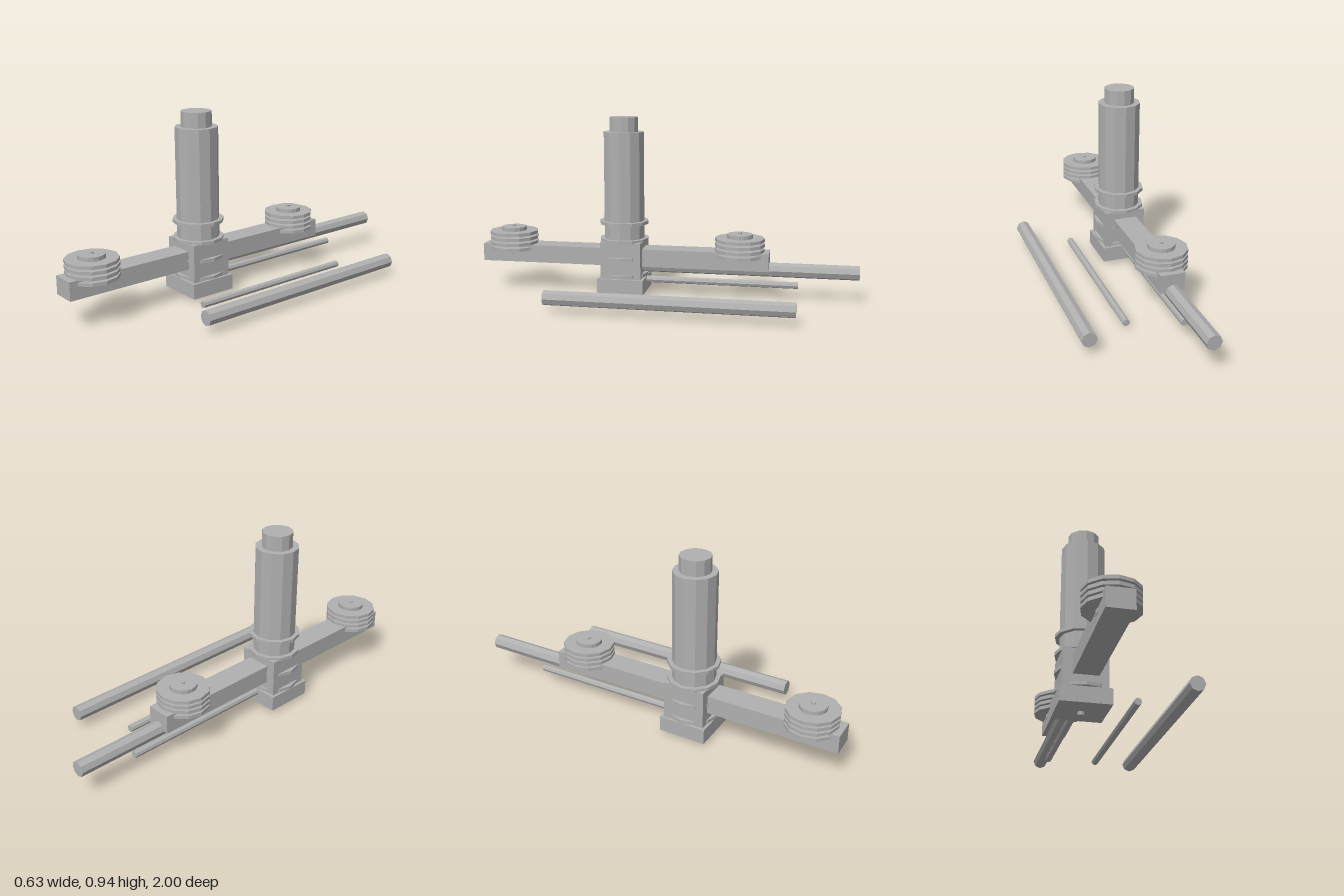
import * as THREE from 'three';

export function createModel() {
  const model = new THREE.Group();
  const grey = new THREE.MeshStandardMaterial({ color: 0xb0b0b0, flatShading: true });
  grey.name = 'grey';
  const CX = -0.185, CZ = 0.23; // axis of the tower

  function add(parent, name, geometry, x, y, z) {
    const mesh = new THREE.Mesh(geometry, grey);
    mesh.name = name;
    mesh.position.set(x, y, z);
    parent.add(mesh);
    return mesh;
  }
  // upright cylinder given by its bottom and top
  function post(parent, name, r, y0, y1, x, z, sides = 12) {
    return add(parent, name, new THREE.CylinderGeometry(r, r, y1 - y0, sides), x, (y0 + y1) / 2, z);
  }
  // cylinder lying along z
  function rod(name, r, x, y, z0, z1) {
    const geometry = new THREE.CylinderGeometry(r, r, z1 - z0, 8).rotateX(Math.PI / 2);
    return add(model, name, geometry, x, y, (z0 + z1) / 2);
  }

  // tower: foot, base, housing, column and cap
  const tower = new THREE.Group();
  tower.name = 'tower';
  model.add(tower);
  post(tower, 'footPin', 0.016, 0, 0.02, CX, CZ, 8);
  add(tower, 'basePlate', new THREE.BoxGeometry(0.245, 0.078, 0.245), CX, 0.056, CZ);
  add(tower, 'housing', new THREE.BoxGeometry(0.215, 0.195, 0.215), CX, 0.1925, CZ);
  post(tower, 'column', 0.108, 0.28, 0.863, CX, CZ);
  post(tower, 'columnCap', 0.077, 0.86, 0.94, CX, CZ);

  // evenly spaced collars, the lower ones poking through the housing
  for (let i = 0; i < 4; i++) {
    const y = 0.109 + i * 0.0925;
    post(tower, 'collar', 0.13, y - 0.0085, y + 0.0085, CX, CZ);
  }

  // long beam through the housing
  add(model, 'beam', new THREE.BoxGeometry(0.124, 0.093, 1.54), CX, 0.2035, CZ);

  // finned stacks at both ends of the beam
  for (const side of [-1, 1]) {
    const stack = new THREE.Group();
    stack.name = side < 0 ? 'rearStack' : 'frontStack';
    stack.position.set(CX, 0, CZ + side * 0.615);
    model.add(stack);
    post(stack, 'hub', 0.067, 0.2, 0.34, 0, 0, 16);
    post(stack, 'axleTip', 0.01, 0.33, 0.348, 0, 0, 8);
    for (let i = 0; i < 4; i++) {
      const y = 0.23 + i * 0.027;
      post(stack, 'fin', 0.13, y - 0.0085, y + 0.0085, 0, 0);
    }
  }

  // rods under the beam and the two loose rods beside it
  rod('beamRod', 0.038, CX, 0.157, -1, CZ);
  rod('lowerThinRod', 0.018, CX, 0.078, -0.69, CZ);
  rod('looseThickRod', 0.038, 0.275, 0.078, -0.695, 0.535);
  rod('looseThinRod', 0.018, 0.045, 0.032, -0.54, 0.38);

  return model;
}
